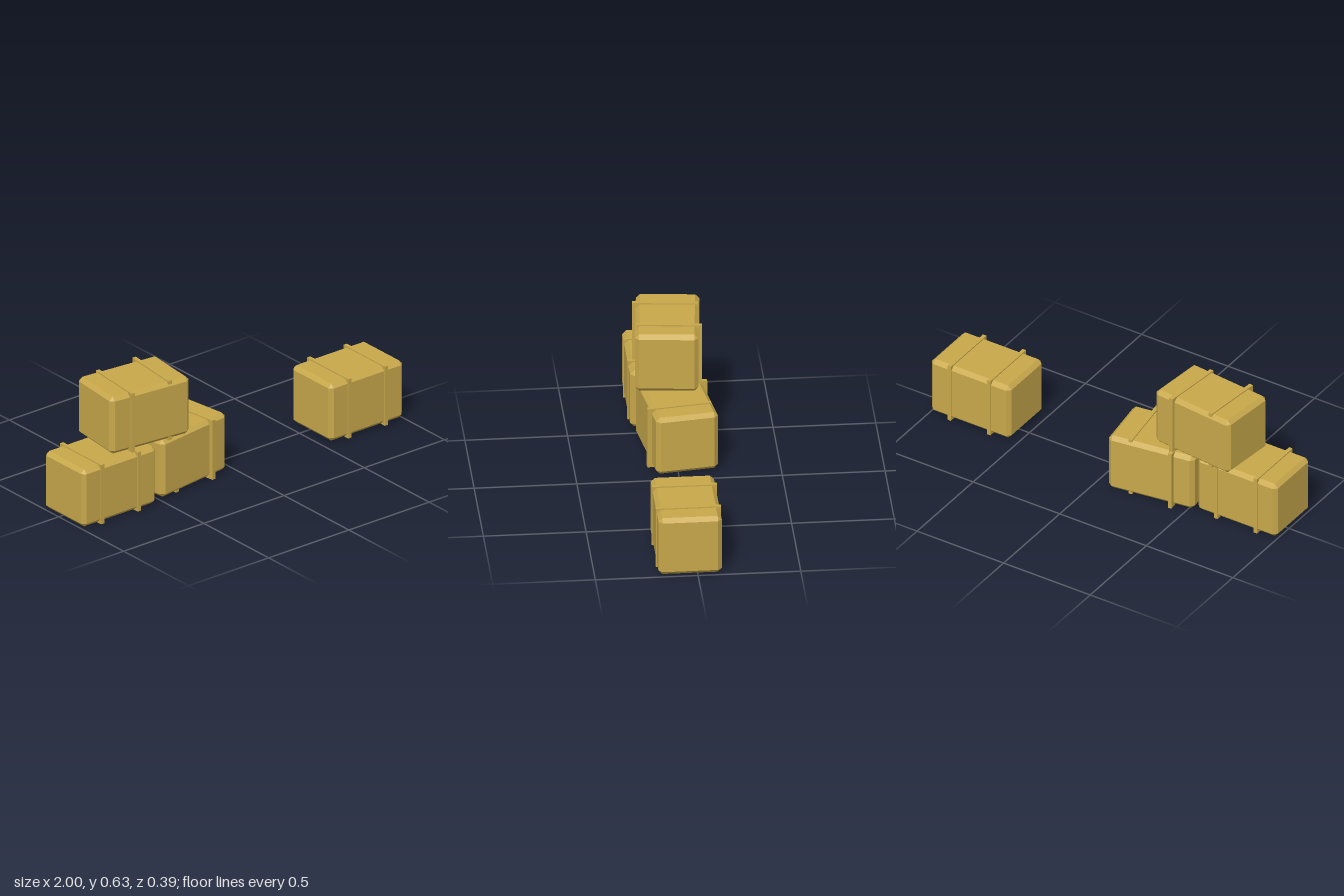
import * as THREE from 'three';
import { ConvexGeometry } from 'three/addons/geometries/ConvexGeometry.js';

const straw = new THREE.MeshStandardMaterial({ color: 0xc8a84b });
straw.name = 'straw';

// Box with every edge cut at 45 degrees and triangular corners
function chamferedBox(w, h, d, c) {
  const points = [];
  for (const sx of [-1, 1]) for (const sy of [-1, 1]) for (const sz of [-1, 1]) {
    const x = w / 2, y = h / 2, z = d / 2;
    points.push(
      new THREE.Vector3(sx * x, sy * (y - c), sz * (z - c)),
      new THREE.Vector3(sx * (x - c), sy * y, sz * (z - c)),
      new THREE.Vector3(sx * (x - c), sy * (y - c), sz * z)
    );
  }
  return new ConvexGeometry(points);
}

export function createModel() {
  const model = new THREE.Group();
  model.name = 'hayBales';

  const baleGeometry = chamferedBox(0.46, 0.306, 0.308, 0.02);
  const strapGeometry = new THREE.BoxGeometry(0.02, 0.318, 0.318);

  function addBale(name, x, y, z, turn) {
    const group = new THREE.Group();
    group.name = name;
    group.position.set(x, y, z);
    const bale = new THREE.Mesh(baleGeometry, straw);
    bale.name = 'bale';
    bale.rotation.y = turn;
    group.add(bale);
    // Two bands, turned with the bale but spaced straight along x
    for (const side of [-1, 1]) {
      const strap = new THREE.Mesh(strapGeometry, straw);
      strap.name = side < 0 ? 'rightStrap' : 'leftStrap';
      strap.position.x = side * 0.114;
      strap.rotation.y = turn;
      group.add(strap);
    }
    model.add(group);
  }

  // Stack of three and one lone bale
  addBale('lowerRightBale', -0.77, 0.159, 0.037, 0);
  addBale('lowerMiddleBale', -0.285, 0.159, -0.013, 0.14);
  addBale('topBale', -0.542, 0.468, 0.012, -0.1);
  addBale('loneBale', 0.77, 0.159, 0.037, 0);

  return model;
}
